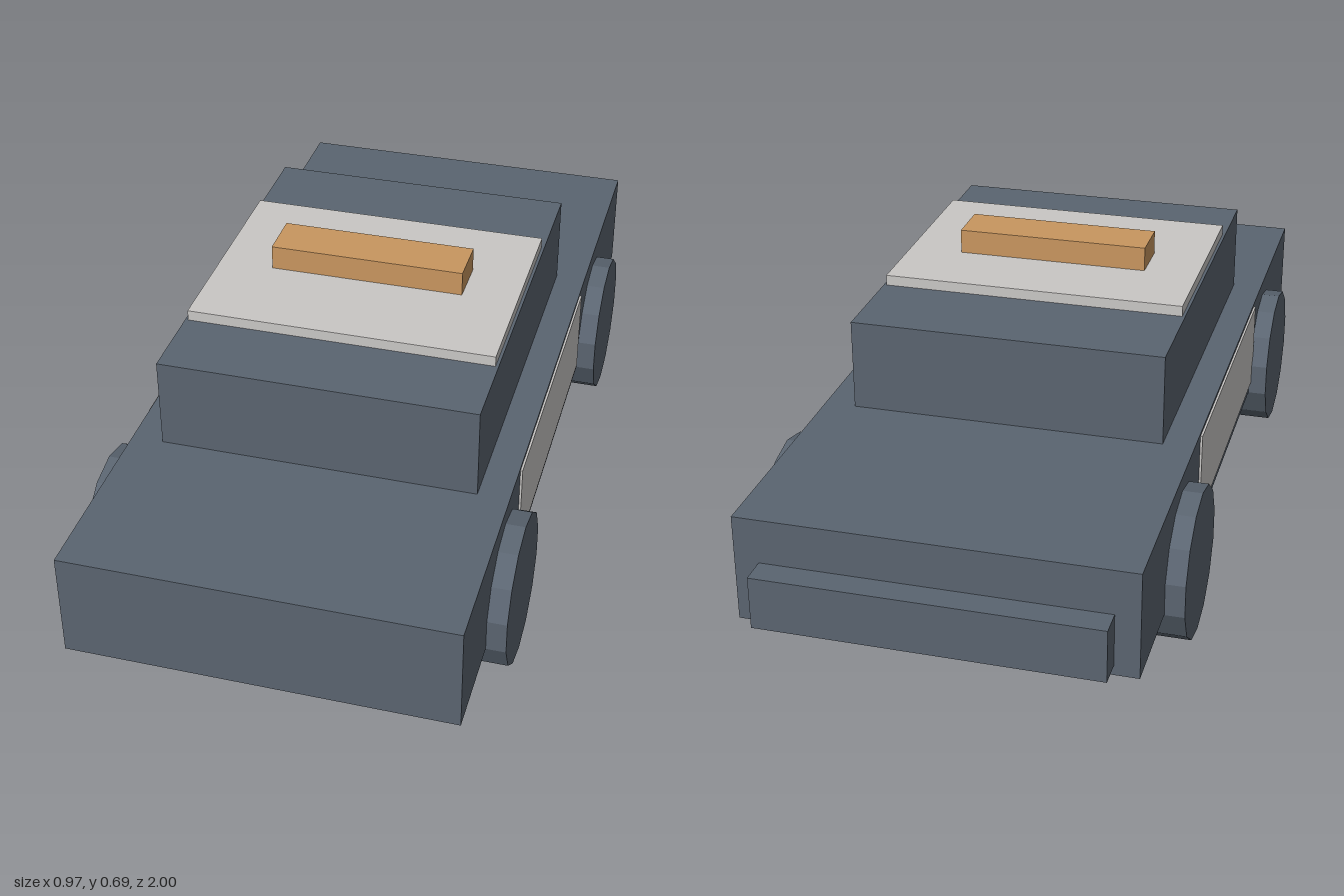
import * as THREE from 'three';

export function createModel() {
  const car = new THREE.Group();
  car.name = 'car';

  const material = (name, color) => {
    const m = new THREE.MeshStandardMaterial({ color });
    m.name = name;
    return m;
  };
  const slate = material('slate', 0x5a6470);
  const paleGrey = material('paleGrey', 0xc9c7c5);
  const amber = material('amber', 0xc8965f);

  // Box given by its lower and upper corners
  const addBox = (name, mat, [x0, y0, z0], [x1, y1, z1]) => {
    const mesh = new THREE.Mesh(new THREE.BoxGeometry(x1 - x0, y1 - y0, z1 - z0), mat);
    mesh.name = name;
    mesh.position.set((x0 + x1) / 2, (y0 + y1) / 2, (z0 + z1) / 2);
    car.add(mesh);
  };

  // Body, cabin and rear bumper
  addBox('body', slate, [-0.44, 0.137, -0.938], [0.44, 0.387, 1]);
  addBox('cabin', slate, [-0.367, 0.387, -0.39], [0.367, 0.602, 0.553]);
  addBox('rearBumper', slate, [-0.385, 0.16, -1], [0.385, 0.283, -0.938]);

  // Roof plate and light bar
  addBox('roofPlate', paleGrey, [-0.36, 0.602, -0.163], [0.36, 0.627, 0.367]);
  addBox('lightBar', amber, [-0.23, 0.627, 0.023], [0.23, 0.685, 0.138]);

  // Door panels
  addBox('leftDoorPanel', paleGrey, [0.438, 0.166, -0.319], [0.445, 0.38, 0.437]);
  addBox('rightDoorPanel', paleGrey, [-0.445, 0.166, -0.319], [-0.438, 0.38, 0.437]);

  // Fourteen-sided wheels, a corner pointing down
  const wheelGeometry = new THREE.CylinderGeometry(0.175, 0.175, 0.115, 14)
    .rotateZ(Math.PI / 2)
    .rotateX(Math.PI / 2)
    .toNonIndexed();
  wheelGeometry.computeVertexNormals();
  for (const [end, z] of [['front', 0.592], ['rear', -0.523]]) {
    for (const [side, x] of [['Left', 0.4275], ['Right', -0.4275]]) {
      const wheel = new THREE.Mesh(wheelGeometry, slate);
      wheel.name = `${end}${side}Wheel`;
      wheel.position.set(x, 0.175, z);
      car.add(wheel);
    }
  }

  return car;
}
